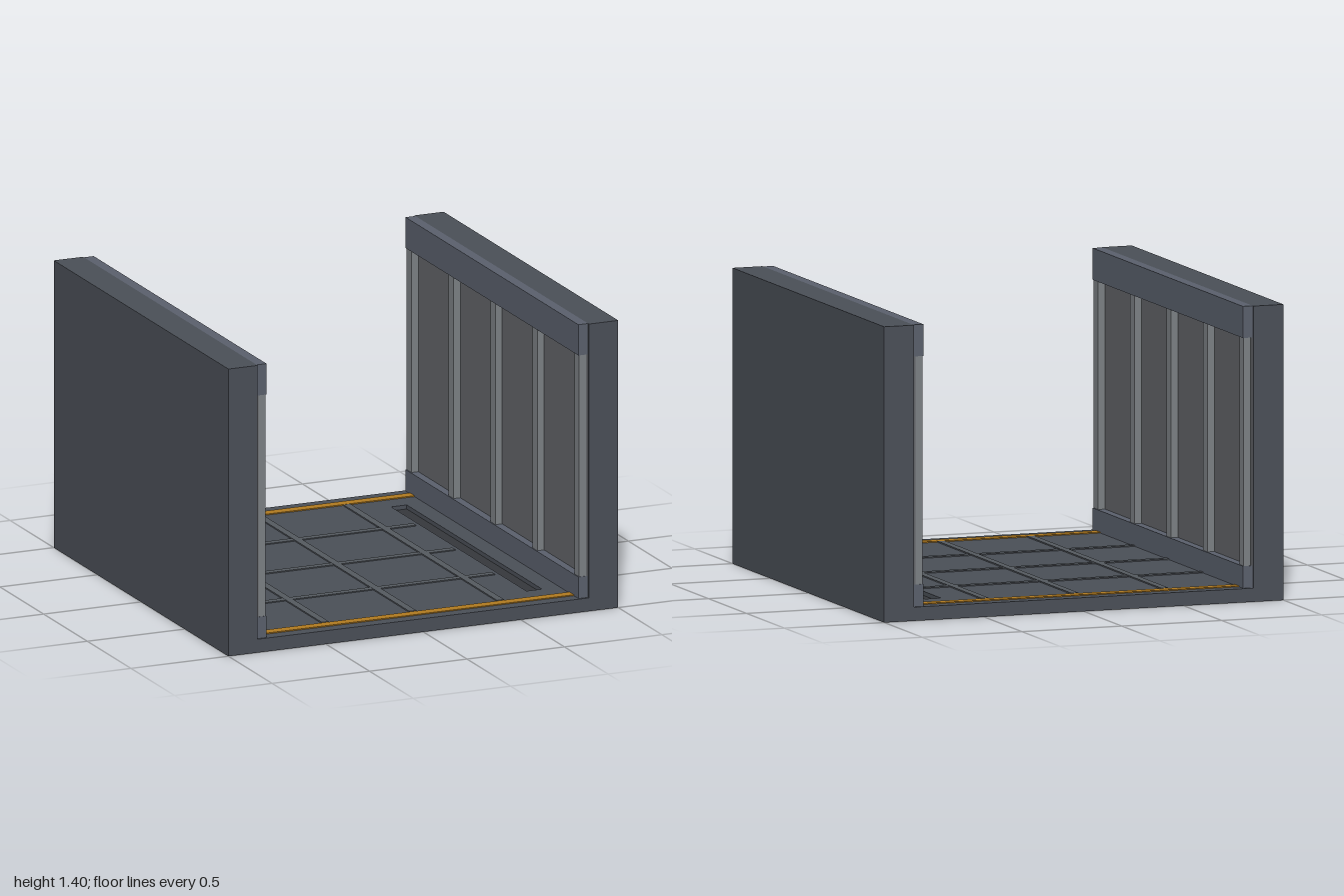
import * as THREE from 'three';

const mat = (color) => new THREE.MeshStandardMaterial({ color });

export function createModel() {
  const model = new THREE.Group();
  model.name = 'corridorSection';
  const hull = mat(0x4a4f57), beam = mat(0x5a606c), panel = mat(0x626468);
  const post = mat(0x7c8084), rib = mat(0x555a60), dark = mat(0x36383c), amber = mat(0xb07a20);

  // box given by its min and max corners
  const box = (parent, name, material, x0, x1, y0, y1, z0, z1) => {
    const mesh = new THREE.Mesh(new THREE.BoxGeometry(x1 - x0, y1 - y0, z1 - z0), material);
    mesh.position.set((x0 + x1) / 2, (y0 + y1) / 2, (z0 + z1) / 2);
    mesh.name = name;
    parent.add(mesh);
  };

  // floor slab with a long slot beside the left wall
  const floorTop = 0.065;
  const rect = (P, x0, x1, z0, z1) => new P([
    new THREE.Vector2(x0, z0), new THREE.Vector2(x1, z0),
    new THREE.Vector2(x1, z1), new THREE.Vector2(x0, z1),
  ]);
  const outline = rect(THREE.Shape, -1, 1, -1, 1);
  outline.holes.push(rect(THREE.Path, 0.63, 0.71, -0.775, 0.775));
  const floorGeometry = new THREE.ExtrudeGeometry(outline, { depth: floorTop, bevelEnabled: false });
  floorGeometry.rotateX(Math.PI / 2).translate(0, floorTop, 0);
  const floor = new THREE.Mesh(floorGeometry, hull);
  floor.name = 'floor';
  model.add(floor);
  box(model, 'slotPlate', dark, 0.63, 0.71, 0.022, 0.045, -0.775, 0.775);

  // floor grid and amber threshold strips
  for (const p of [-0.45, 0, 0.45]) {
    box(model, 'crossRib', rib, -0.8, 0.605, floorTop - 0.01, 0.07, p - 0.018, p + 0.018);
    box(model, 'longRib', rib, p - 0.018, p + 0.018, floorTop - 0.01, 0.071, -0.88, 0.88);
  }
  for (const z of [-0.912, 0.912]) {
    box(model, 'thresholdStrip', amber, -0.8, 0.8, floorTop - 0.01, 0.07, z - 0.026, z + 0.026);
  }

  // side walls: outer slab, inset panel, top and bottom beams, posts
  for (const side of [-1, 1]) {
    const wall = new THREE.Group();
    wall.name = side > 0 ? 'leftWall' : 'rightWall';
    const part = (name, material, inner, outer, y0, y1, z0, z1) => box(wall, name, material,
      Math.min(side * inner, side * outer), Math.max(side * inner, side * outer), y0, y1, z0, z1);
    part('wallSlab', hull, 0.85, 1, floorTop, 1.4, -1, 1);
    part('wallPanel', panel, 0.84, 0.85, 0.17, 1.25, -0.99, 0.99);
    part('topBeam', beam, 0.8, 0.85, 1.25, 1.4, -0.99, 0.99);
    part('bottomBeam', beam, 0.8, 0.85, floorTop, 0.17, -0.99, 0.99);
    for (const z of [-0.96, -0.48, 0, 0.48, 0.96]) {
      part('wallPost', post, 0.805, 0.84, 0.17, 1.25, z - 0.028, z + 0.028);
    }
    model.add(wall);
  }
  return model;
}
